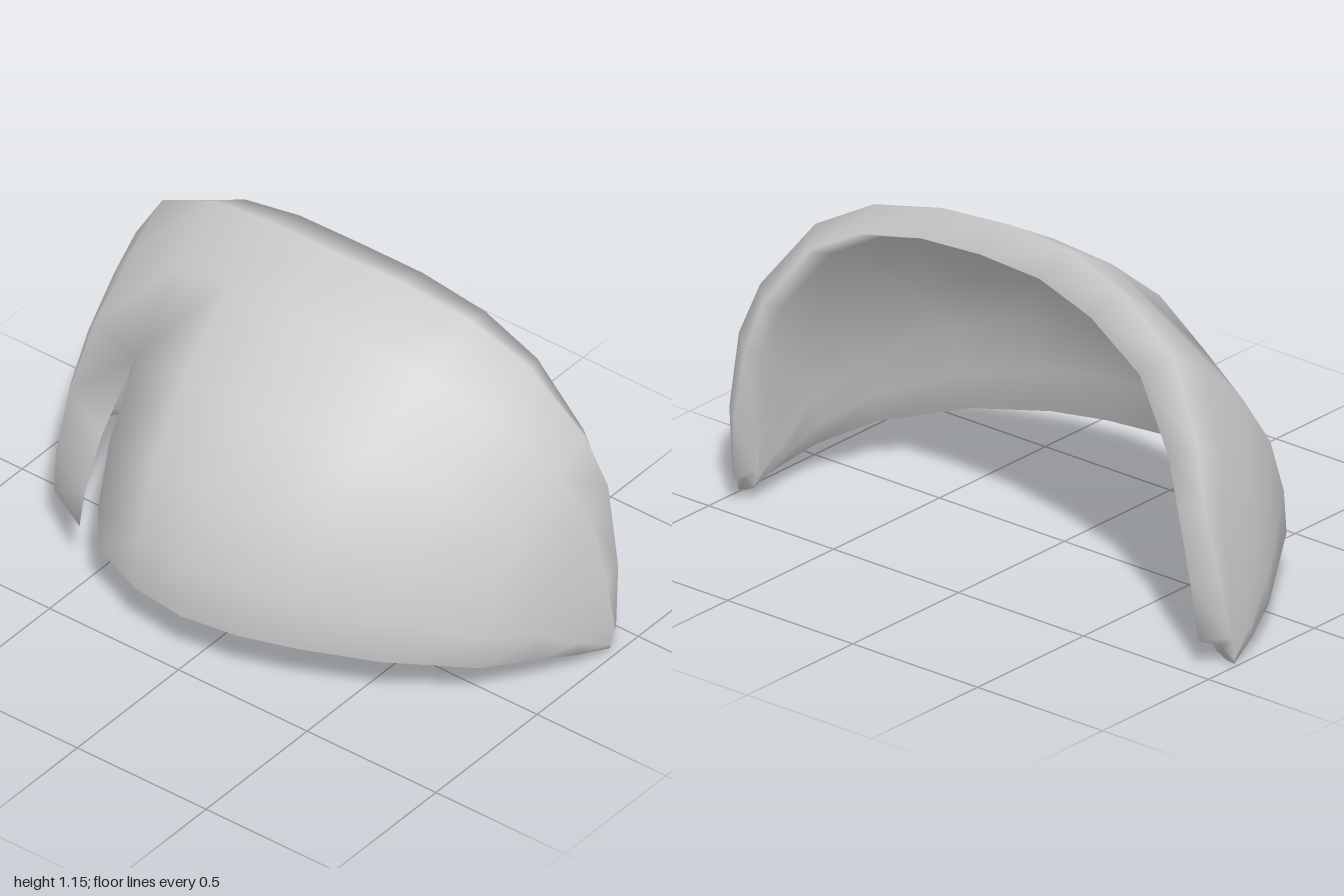
import * as THREE from 'three';
import { mergeVertices } from 'three/addons/utils/BufferGeometryUtils.js';

// Ribs from left tip to slit and slit to right tip: lower rim point, rear arch point, height of the bulge
const SLIT = [[-0.455, 0.215, 0.365], [-0.5, 1.08, -0.31], 0.47];
const LEFT_RIBS = [
  [[0.985, 0.02, -0.38], [1, 0.1, -0.39], 0.5],
  [[0.96, 0.06, -0.25], [0.985, 0.31, -0.42], 0.55],
  [[0.92, 0.105, -0.11], [0.93, 0.58, -0.44], 0.6],
  [[0.83, 0.145, 0.08], [0.87, 0.75, -0.41], 0.6],
  [[0.61, 0.185, 0.28], [0.7, 0.98, -0.35], 0.6],
  [[0.38, 0.2, 0.4], [0.5, 1.09, -0.31], 0.6],
  [[0.2, 0.2, 0.46], [0.25, 1.14, -0.28], 0.6],
  [[0, 0.2, 0.49], [0, 1.15, -0.26], 0.6],
  [[-0.2, 0.2, 0.465], [-0.26, 1.14, -0.27], 0.6],
  SLIT,
];
const RIGHT_RIBS = [
  SLIT,
  [[-0.72, 0.17, 0.2], [-0.73, 0.95, -0.35], 0.6],
  [[-0.82, 0.135, 0.04], [-0.88, 0.72, -0.41], 0.6],
  [[-0.92, 0.1, -0.12], [-0.94, 0.55, -0.45], 0.6],
  [[-0.97, 0.05, -0.26], [-0.985, 0.3, -0.43], 0.55],
  [[-0.985, 0, -0.36], [-1, 0.1, -0.39], 0.5],
];
const STEPS = [0, 0.16, 0.38, 0.62, 0.85, 1];
const THICKNESS = [0.03, 0.07, 0.08, 0.09, 0.1, 0.1];
const SLIT_TOP = 0.62;
const CORE = new THREE.Vector3(0, 0.2, -0.45);

// Closed cross-section: up the outside, over the rear lip, down the inside
function ribLoop(rib, side) {
  const a = new THREE.Vector3(...rib[0]);
  const b = new THREE.Vector3(...rib[1]);
  const bulge = new THREE.Vector3(a.x * 0.85 + b.x * 0.15, a.y + (b.y - a.y) * rib[2], a.z);
  const curve = new THREE.QuadraticBezierCurve3(a, bulge, b);
  const outer = [], inner = [];
  STEPS.forEach((s, i) => {
    const p = curve.getPoint(s);
    const slitEdge = rib === SLIT && s <= SLIT_TOP;
    if (slitEdge) {
      const open = 1 - s / SLIT_TOP;
      p.x += side * 0.055 * open;
      p.z += side * 0.025 * open;
    }
    outer.push(p);
    inner.unshift(p.clone().lerp(CORE, slitEdge ? 0 : THICKNESS[i]));
  });
  const lip = new THREE.Vector3(b.x * 0.93, b.y * 0.955, b.z * 0.5 - 0.27);
  return [...outer, lip, ...inner];
}

function createModel() {
  const positions = [];
  const tri = (...points) => points.forEach((p) => positions.push(p.x, p.y, p.z));
  const n = STEPS.length * 2 + 1;

  // Skin each panel across its ribs
  const skin = (loops) => {
    for (let i = 0; i < loops.length - 1; i++) {
      for (let j = 0; j < n; j++) {
        const k = (j + 1) % n;
        const [p, q] = [loops[i], loops[i + 1]];
        tri(p[j], p[k], q[j]);
        tri(p[k], q[k], q[j]);
      }
    }
  };
  // Close a pointed side tip
  const cap = (loop, flip) => {
    const mid = loop.reduce((sum, p) => sum.add(p), new THREE.Vector3()).divideScalar(n);
    loop.forEach((p, j) => {
      const next = loop[(j + 1) % n];
      if (flip) tri(mid, next, p);
      else tri(mid, p, next);
    });
  };

  const left = LEFT_RIBS.map((rib) => ribLoop(rib, 1));
  const right = RIGHT_RIBS.map((rib) => ribLoop(rib, -1));
  skin(left);
  skin(right);
  cap(left[0], true);
  cap(right[right.length - 1], false);

  // Weld for smooth shading around the rims
  let geometry = new THREE.BufferGeometry();
  geometry.setAttribute('position', new THREE.Float32BufferAttribute(positions, 3));
  geometry = mergeVertices(geometry, 1e-4);
  geometry.computeVertexNormals();

  const shell = new THREE.Mesh(geometry, new THREE.MeshStandardMaterial({ color: 0xcccccc, side: THREE.DoubleSide }));
  shell.name = 'slitShell';
  const group = new THREE.Group();
  group.name = 'curvedShell';
  group.add(shell);
  return group;
}

export { createModel };
